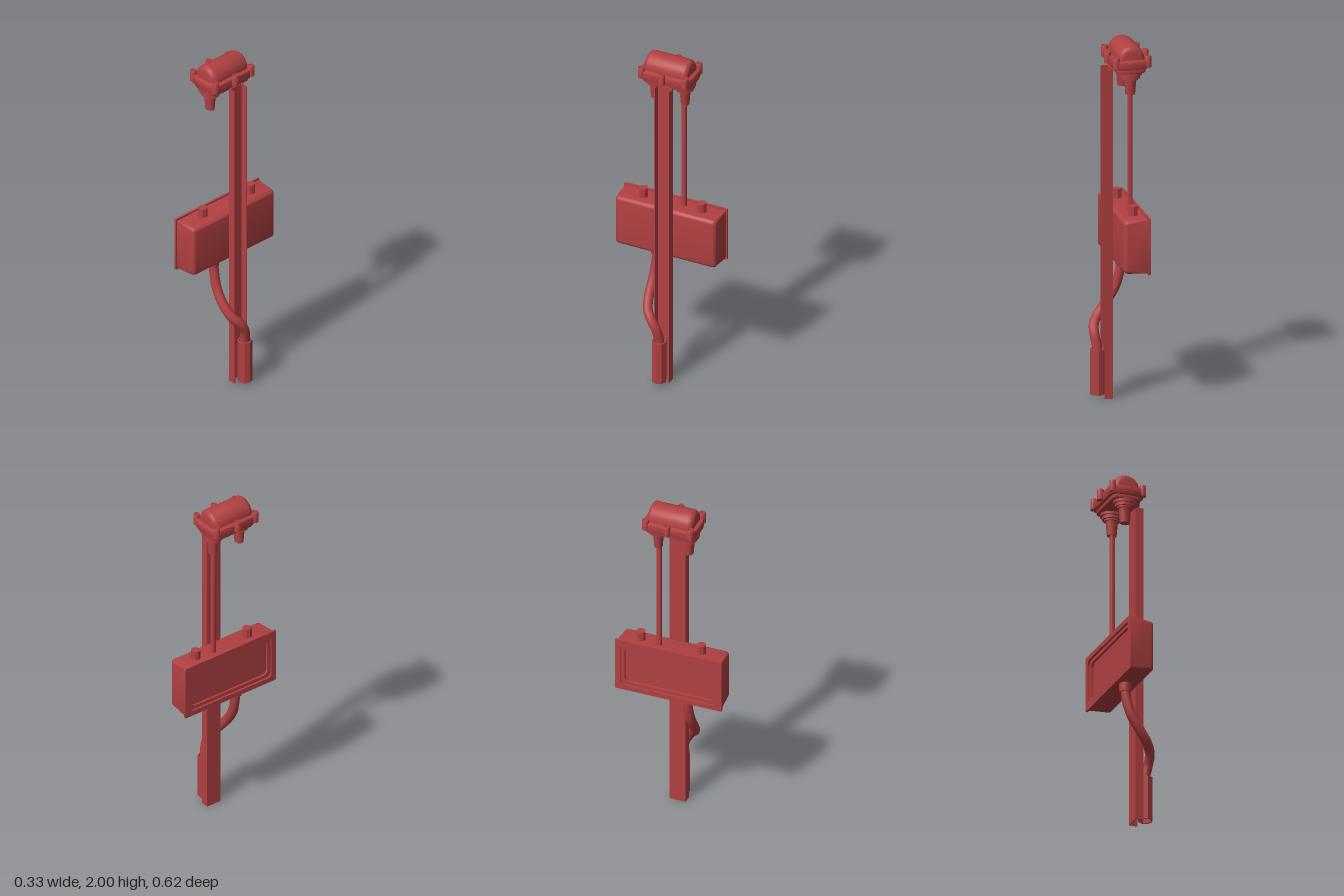
import * as THREE from 'three';
import { toCreasedNormals } from 'three/addons/utils/BufferGeometryUtils.js';
import { RoundedBoxGeometry } from 'three/addons/geometries/RoundedBoxGeometry.js';

const red = new THREE.MeshStandardMaterial({ color: 0xb24042, side: THREE.DoubleSide });
red.name = 'red paint';

export function createModel() {
  const root = new THREE.Group();
  root.name = 'sensorPost';

  const add = (name, geo, x = 0, y = 0, z = 0, parent = root) => {
    const m = new THREE.Mesh(toCreasedNormals(geo, 0.6), red);
    m.name = name;
    m.position.set(x, y, z);
    parent.add(m);
    return m;
  };
  const box = (name, x0, x1, y0, y1, z0, z1) =>
    add(name, new THREE.BoxGeometry(x1 - x0, y1 - y0, z1 - z0), (x0 + x1) / 2, (y0 + y1) / 2, (z0 + z1) / 2);
  const lathe = (pts, sides) => new THREE.LatheGeometry(pts.map(p => new THREE.Vector2(...p)), sides);

  // rectangle with rounded corners, centred on the origin
  const rounded = (w, h, r, Kind = THREE.Shape) => {
    const s = new Kind(), a = w / 2, b = h / 2;
    s.moveTo(-a + r, -b);
    s.lineTo(a - r, -b); s.quadraticCurveTo(a, -b, a, -b + r);
    s.lineTo(a, b - r); s.quadraticCurveTo(a, b, a - r, b);
    s.lineTo(-a + r, b); s.quadraticCurveTo(-a, b, -a, b - r);
    s.lineTo(-a, -b + r); s.quadraticCurveTo(-a, -b, -a + r, -b);
    return s;
  };

  // U-channel post, open towards +x
  box('postWeb', 0.045, 0.052, 0, 1.86, -0.05, 0.043);
  box('postFlangeBack', 0.045, 0.092, 0, 1.86, -0.05, -0.044);
  box('postFlangeFront', 0.045, 0.092, 0, 1.86, 0.037, 0.043);

  // cabinet body: rounded on the post side, cut flat on the open side
  const body = new RoundedBoxGeometry(0.18, 0.3, 0.606, 3, 0.022);
  const p = body.attributes.position;
  for (let i = 0; i < p.count; i++) {
    const x = p.getX(i) - 0.045;
    if (x < -0.075) {
      p.setX(i, -0.03);
      if (Math.abs(p.getY(i)) > 0.127) p.setY(i, Math.sign(p.getY(i)) * 0.15);
      if (Math.abs(p.getZ(i)) > 0.28) p.setZ(i, Math.sign(p.getZ(i)) * 0.303);
    }
  }
  add('cabinetBody', body, -0.045, 0.92, 0);

  // stepped rim frames around the recessed cabinet face
  const frame = (name, x, t, w, h, hw, hh) => {
    const s = rounded(w, h, 0.006);
    s.holes.push(rounded(hw, hh, 0.03, THREE.Path));
    const g = new THREE.ExtrudeGeometry(s, { depth: t, bevelEnabled: false, curveSegments: 5 });
    add(name, g.rotateY(Math.PI / 2), x, 0.92, 0);
  };
  frame('cabinetRim', -0.1, 0.012, 0.622, 0.32, 0.56, 0.262);
  frame('cabinetInnerRim', -0.088, 0.014, 0.606, 0.3, 0.52, 0.222);

  // cable stubs on top of the cabinet
  for (const z of [-0.187, 0.165])
    add('cabinetStub', new THREE.CylinderGeometry(0.026, 0.026, 0.06, 8), -0.031, 1.093, z);

  // conduit between cabinet and head
  add('upperConduit', new THREE.CylinderGeometry(0.015, 0.015, 0.7, 12), -0.043, 1.4, -0.075);

  // lower hose with collar and open sleeve
  add('hoseCollar', new THREE.CylinderGeometry(0.034, 0.032, 0.055, 12), -0.034, 0.748, 0.085);
  const path = new THREE.CatmullRomCurve3([
    [-0.034, 0.75, 0.083], [-0.026, 0.68, 0.085], [0, 0.59, 0.09], [0.05, 0.51, 0.09],
    [0.1, 0.445, 0.075], [0.13, 0.4, 0.04], [0.133, 0.35, 0.01], [0.122, 0.28, -0.004], [0.122, 0.22, -0.004],
  ].map(a => new THREE.Vector3(...a)));
  add('hose', new THREE.TubeGeometry(path, 36, 0.027, 12), 0, 0, 0);
  add('sleeve', lathe([[0.033, 0.02], [0.041, 0.02], [0.041, 0.275], [0.033, 0.275], [0.033, 0.02]], 8),
    0.122, 0, -0.004);

  // head: half-round cover on a chamfered flange
  const head = new THREE.Group();
  head.name = 'head';
  head.position.set(-0.043, 0, 0.01);
  root.add(head);

  const arch = new THREE.Shape();
  arch.moveTo(-0.045, 1.9);
  arch.lineTo(0.045, 1.9);
  arch.lineTo(0.045, 1.925);
  arch.absarc(0, 1.925, 0.045, 0, Math.PI, false);
  const dome = new THREE.ExtrudeGeometry(arch, {
    depth: 0.205, bevelThickness: 0.03, bevelSize: 0.03, bevelSegments: 5, curveSegments: 14,
  });
  add('headCover', dome, 0, 0, -0.1025, head);

  const slab = (name, hx, hz, y0, y1, bevel) => {
    const s = new THREE.Shape();
    const a = hx - bevel, b = hz - bevel;
    [[0.45, 1], [0.86, 0.93], [1, 0.78], [1, -0.78], [0.86, -0.93], [0.45, -1],
      [-0.45, -1], [-0.86, -0.93], [-1, -0.78], [-1, 0.78], [-0.86, 0.93], [-0.45, 1]]
      .forEach(([x, z], i) => i ? s.lineTo(x * a, z * b) : s.moveTo(x * a, z * b));
    const g = new THREE.ExtrudeGeometry(s, {
      depth: y1 - y0 - 2 * bevel, bevelThickness: bevel, bevelSize: bevel, bevelSegments: 2,
    });
    add(name, g.rotateX(-Math.PI / 2), 0, y0 + bevel, 0, head);
  };
  slab('headFlange', 0.098, 0.155, 1.87, 1.922, 0.008);
  slab('headUnderside', 0.082, 0.142, 1.848, 1.872, 0.004);

  // stepped cable glands under the head
  const gland = [[0, 1.722], [0.027, 1.722], [0.034, 1.805], [0.044, 1.805], [0.044, 1.815],
    [0.055, 1.815], [0.055, 1.833], [0.066, 1.833], [0.066, 1.852]];
  for (const z of [-0.09, 0.09])
    add('cableGland', lathe(gland, 16), 0, 0, z, head).scale.z = 0.85;

  // screw bosses around the flange
  const boss = [[0, 1.88], [0.019, 1.88], [0.019, 1.94], [0.017, 1.943], [0.012, 1.943],
    [0.011, 1.937], [0.007, 1.937], [0.006, 1.941], [0, 1.941]];
  for (const s of [-1, 1])
    for (const [x, z] of [[0.088, -0.131], [0.105, 0], [0.088, 0.131]])
      add('screwBoss', lathe(boss, 14), s * x, 0, z, head);

  return root;
}
